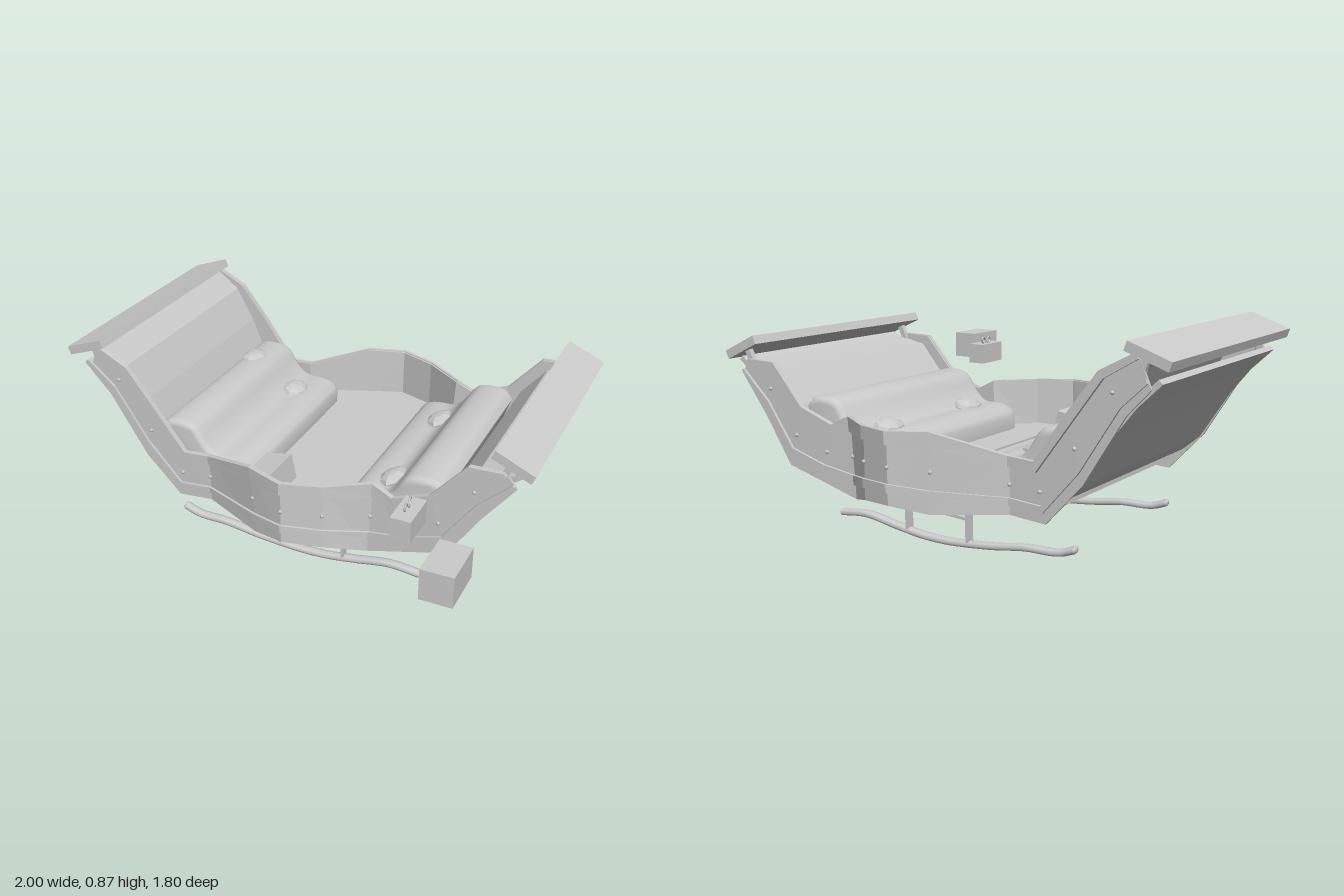
import * as THREE from 'three';
import { toCreasedNormals } from 'three/addons/utils/BufferGeometryUtils.js';

const MID_Z = -0.228; // centre line of the sleigh body
const mat = new THREE.MeshStandardMaterial({ color: 0xcccccc, side: THREE.DoubleSide });
const flat = new THREE.MeshStandardMaterial({ color: 0xcccccc, flatShading: true, side: THREE.DoubleSide });

function add(parent, name, geo, x = 0, y = 0, z = 0, material = flat) {
  const m = new THREE.Mesh(geo, material);
  m.name = name;
  m.position.set(x, y, z);
  parent.add(m);
  return m;
}
const box = (w, h, d) => new THREE.BoxGeometry(w, h, d);
const shapeOf = (pts) => new THREE.Shape(pts.map(([x, y]) => new THREE.Vector2(x, y)));

// Side wall stations: top x, top y, bottom x, bottom y, distance from the centre line
const stations = [
  [-0.87, 0.84, -0.92, 0.72, 0.495], [-0.735, 0.77, -0.83, 0.625, 0.495],
  [-0.61, 0.61, -0.67, 0.37, 0.495], [-0.48, 0.43, -0.52, 0.21, 0.49],
  [-0.37, 0.435, -0.37, 0.22, 0.485], [-0.115, 0.51, -0.1, 0.205, 0.6],
  [0.045, 0.505, 0.045, 0.23, 0.655], [0.2, 0.5, 0.2, 0.215, 0.6],
  [0.365, 0.495, 0.345, 0.17, 0.485], [0.45, 0.455, 0.52, 0.22, 0.49],
  [0.6, 0.51, 0.68, 0.265, 0.495], [0.745, 0.675, 0.8, 0.45, 0.495],
  [0.88, 0.68, 0.93, 0.62, 0.495],
];
function onWall([tx, ty, bx, by, z], t, out) {
  return [tx + (bx - tx) * t, ty + (by - ty) * t, z + out];
}

// Strip along the wall between heights t0 and t1 and depths inner and outer
function wallBand(t0, t1, inner, outer) {
  const pos = [], idx = [];
  for (const s of stations) {
    pos.push(...onWall(s, t0, outer), ...onWall(s, t1, outer), ...onWall(s, t1, inner), ...onWall(s, t0, inner));
  }
  const last = (stations.length - 1) * 4;
  for (let i = 0; i < last; i += 4) {
    for (let k = 0; k < 4; k++) {
      const a = i + k, b = i + ((k + 1) % 4);
      idx.push(a, b, b + 4, a, b + 4, a + 4);
    }
  }
  idx.push(0, 2, 1, 0, 3, 2, last, last + 1, last + 2, last, last + 2, last + 3);
  const g = new THREE.BufferGeometry();
  g.setAttribute('position', new THREE.Float32BufferAttribute(pos, 3));
  g.setIndex(idx);
  g.computeVertexNormals();
  return g;
}

function makeSide(name, mirror) {
  const side = new THREE.Group();
  side.name = name;
  add(side, 'wall', wallBand(0, 1, -0.008, 0.002));
  add(side, 'topTrim', wallBand(-0.01, 0.17, 0.003, 0.018));
  add(side, 'lowerTrim', wallBand(0.7, 0.82, 0.003, 0.014));
  const rivet = new THREE.SphereGeometry(0.008, 8, 6);
  stations.slice(1, -1).forEach((s) => add(side, 'rivet', rivet, ...onWall(s, 0.48, 0.004), mat));
  side.position.z = MID_Z;
  side.scale.z = mirror;
  return side;
}

// Sloping end panel, from the flared lip down to the floor
function endPanel(pts, inward, thickness) {
  const inner = pts.map(([x, y]) => [x + inward * thickness, y + thickness]).reverse();
  const g = new THREE.ExtrudeGeometry(shapeOf([...pts, ...inner]), { depth: 0.97, bevelEnabled: false });
  return g.translate(0, 0, MID_Z - 0.485);
}

// Padded seat: rounded high back rolling down to the seat front
function makeCushion(name, mirror) {
  const g = new THREE.Group();
  g.name = name;
  const top = new THREE.CatmullRomCurve3([
    [-0.62, 0.5], [-0.59, 0.535], [-0.53, 0.545], [-0.46, 0.53], [-0.41, 0.46],
    [-0.36, 0.415], [-0.28, 0.41], [-0.22, 0.39], [-0.2, 0.36],
  ].map(([x, y]) => new THREE.Vector3(x, y, 0))).getPoints(24).map((p) => [p.x, p.y]);
  const shape = shapeOf([...top, [-0.2, 0.3], [-0.5, 0.3], [-0.58, 0.38]]);
  const geo = new THREE.ExtrudeGeometry(shape, {
    depth: 0.84, bevelSize: 0.025, bevelOffset: -0.025, bevelThickness: 0.03, bevelSegments: 4,
  });
  add(g, 'padding', toCreasedNormals(geo.translate(0, 0, -0.637), 0.7), 0, 0, 0, mat);
  g.scale.x = mirror;
  if (mirror < 0) g.position.x = 0.025;
  return g;
}

function makeRunner(z) {
  const g = new THREE.Group();
  g.name = 'runner';
  const curve = new THREE.CatmullRomCurve3([
    [-0.555, 0.085], [-0.49, 0.063], [-0.35, 0.058], [-0.2, 0.037], [0, 0.022],
    [0.12, 0.025], [0.25, 0.042], [0.41, 0.067], [0.54, 0.056],
  ].map(([x, y]) => new THREE.Vector3(x, y, 0)));
  const rail = new THREE.TubeGeometry(curve, 40, 0.015, 8).scale(1, 1, 1.5);
  add(g, 'rail', rail, 0, 0, 0, mat);
  for (const end of [0, 1]) {
    const p = curve.getPoint(end);
    add(g, 'railTip', new THREE.SphereGeometry(0.015, 8, 6).scale(0.6, 1, 1.5), p.x, p.y, 0, mat);
  }
  for (const x of [-0.09, 0.2]) add(g, 'post', box(0.012, 0.26, 0.035), x, 0.155, 0);
  add(g, 'brace', box(0.29, 0.012, 0.02), 0.055, 0.135, 0).rotation.z = 0.07;
  g.position.z = z;
  return g;
}

export function createModel() {
  const model = new THREE.Group();
  model.name = 'sleigh';

  model.add(makeSide('leftSide', 1), makeSide('rightSide', -1));

  // Floor with the bulging middle
  const half = [[-0.58, 0.485], [-0.37, 0.475], [-0.1, 0.585], [0.045, 0.64], [0.2, 0.585], [0.36, 0.475], [0.64, 0.485]];
  const outline = [...half, ...half.map(([x, z]) => [x, -z]).reverse()];
  const floor = new THREE.ExtrudeGeometry(shapeOf(outline), { depth: 0.02, bevelEnabled: false });
  add(model, 'floor', floor.rotateX(-Math.PI / 2), 0, 0.28, MID_Z);
  add(model, 'floorBoard', box(0.16, 0.012, 1.15), 0.12, 0.302, MID_Z);

  // Outer hull ends and the raised linings inside them
  add(model, 'backHull', endPanel([[-0.955, 0.74], [-0.865, 0.655], [-0.78, 0.55], [-0.655, 0.36], [-0.56, 0.28]], 1, 0.015));
  add(model, 'frontHull', endPanel([[0.955, 0.67], [0.85, 0.59], [0.68, 0.32], [0.62, 0.28]], -1, 0.015));
  add(model, 'backLining', endPanel([[-0.87, 0.82], [-0.77, 0.745], [-0.69, 0.6], [-0.56, 0.29]], 1, 0.008));
  add(model, 'frontLining', endPanel([[0.93, 0.66], [0.78, 0.63], [0.67, 0.5], [0.57, 0.29]], -1, 0.008));

  // Tilted top boards on short posts
  for (const [name, x, y, tilt] of [['backBoard', -0.915, 0.832, 0.34], ['frontBoard', 0.915, 0.725, -0.43]]) {
    add(model, name, box(0.172, 0.036, 1.045), x, y, MID_Z + 0.005).rotation.z = tilt;
    for (const s of [-1, 1]) {
      add(model, 'boardPost', box(0.025, 0.12, 0.02), x * 0.965, y - 0.05, MID_Z + s * 0.485).rotation.z = tilt;
    }
  }

  // Seats with oval buttons
  model.add(makeCushion('backSeat', 1), makeCushion('frontSeat', -1));
  for (const [x, y, z, tilt] of [[-0.55, 0.53, -0.48, 0], [-0.34, 0.41, -0.48, -0.2], [0.37, 0.415, -0.48, 0.3], [0.37, 0.415, 0.06, 0.3]]) {
    const button = new THREE.SphereGeometry(1, 8, 6).scale(0.056, 0.03, 0.078);
    add(model, 'seatButton', button, x, y, z).rotation.z = tilt;
  }

  for (const z of [0.165, -0.575]) model.add(makeRunner(z));

  // Parcels: one tipped on the floor, two beside the sleigh
  add(model, 'floorParcel', box(0.12, 0.11, 0.19), -0.12, 0.365, 0.19).rotation.z = 0.2;
  add(model, 'largeParcel', box(0.12, 0.12, 0.19), 0.85, 0.575, 0.8);
  add(model, 'smallParcel', box(0.08, 0.09, 0.16), 0.62, 0.575, 0.555);
  for (const s of [-1, 1]) {
    const loop = new THREE.TorusGeometry(0.016, 0.004, 6, 12).scale(1.3, 0.8, 1).rotateY(Math.PI / 2 + 0.2);
    add(model, 'bowLoop', loop, 0.615, 0.634, 0.552 + s * 0.02, mat).rotation.x = -s * 0.35;
  }
  return model;
}
